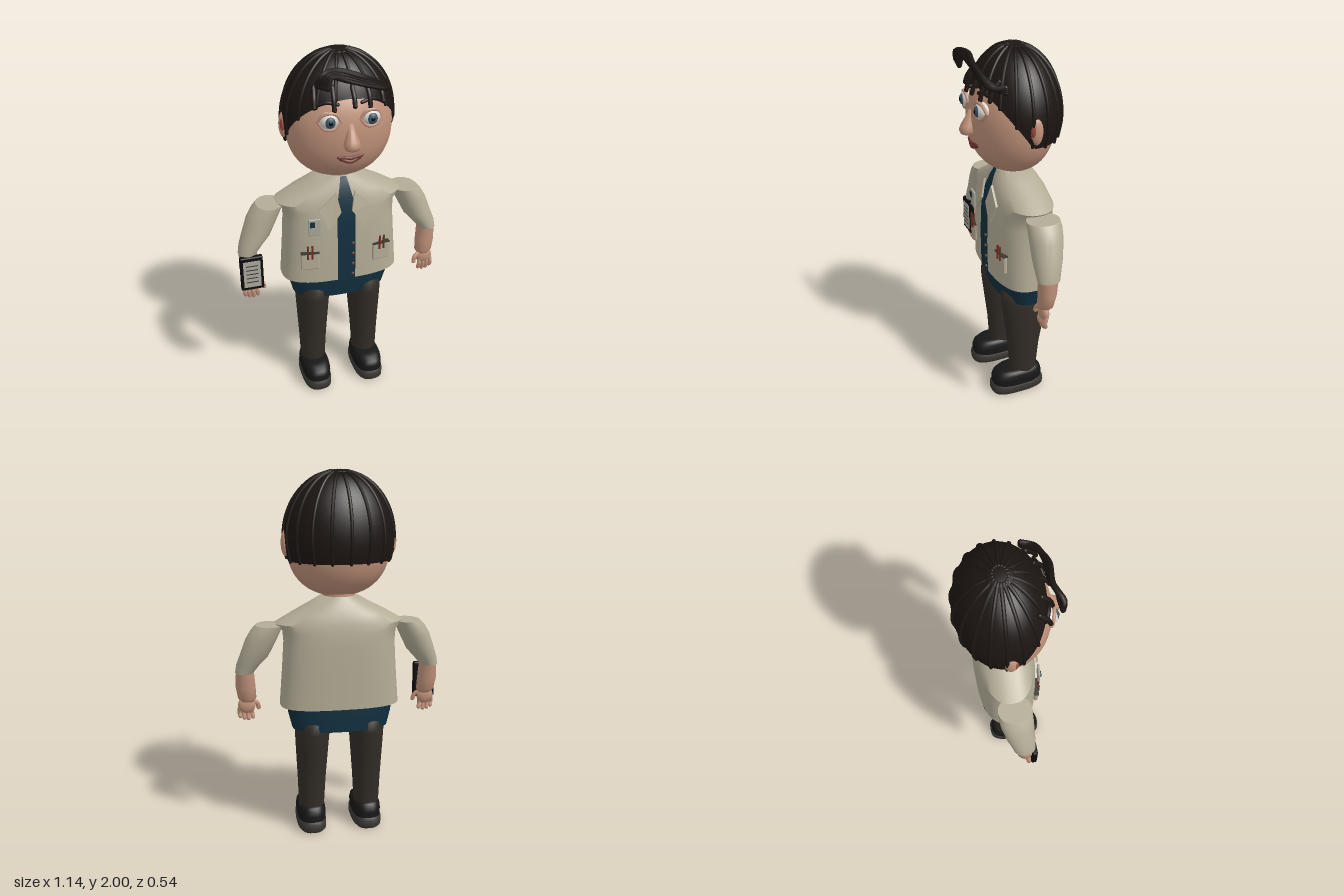
import * as THREE from 'three';
import { toCreasedNormals } from 'three/addons/utils/BufferGeometryUtils.js';
import { RoundedBoxGeometry } from 'three/addons/geometries/RoundedBoxGeometry.js';

const mat = (color, side = THREE.FrontSide) => new THREE.MeshStandardMaterial({ color, side });
const SKIN = mat(0xc0927a), SHIRT = mat(0xb3ac96, THREE.DoubleSide), NAVY = mat(0x123040, THREE.DoubleSide);
const PANTS = mat(0x332d27), HAIR = mat(0x1c1512, THREE.DoubleSide), SHOE = mat(0x181717), SOLE = mat(0x3b3833);
const WHITE = mat(0xd8d4cc), IRIS = mat(0x3c5566), BLACK = mat(0x0c0c0e), LIP = mat(0x70352e), RED = mat(0x7a2a20);
const BRASS = mat(0x5a3d28), PAPER = mat(0xa8a89c), EARPINK = mat(0x9a4a3c);

const V = (x, y, z) => new THREE.Vector3(x, y, z);
const spow = (v, p) => Math.sign(v) * Math.abs(v) ** p;

// Skin over stacked rings [y, centreX, centreZ, radiusX, radiusZ, roundness], lowest first
function loft(rings, seg = 40, crease = 0.7) {
  const pos = [], idx = [], first = rings[0], last = rings[rings.length - 1];
  const all = [[first[0], first[1], first[2], 5e-4, 5e-4], ...rings, [last[0], last[1], last[2], 5e-4, 5e-4]];
  all.forEach(([y, cx, cz, rx, rz, n = 2], i) => {
    for (let j = 0; j < seg; j++) {
      const a = (j / seg) * Math.PI * 2;
      pos.push(cx + rx * spow(Math.cos(a), 2 / n), y, cz + rz * spow(Math.sin(a), 2 / n));
      if (i === all.length - 1) continue;
      const p = i * seg + j, q = i * seg + ((j + 1) % seg);
      idx.push(p, p + seg, q, q, p + seg, q + seg);
    }
  });
  const g = new THREE.BufferGeometry();
  g.setAttribute('position', new THREE.Float32BufferAttribute(pos, 3));
  g.setIndex(idx);
  return toCreasedNormals(g, crease);
}

// Jacket body rings, also used to lay parts on its front
const TORSO = [
  [0.75, 0, -0.025, 0.328, 0.163, 2.8], [0.95, 0, -0.025, 0.312, 0.165, 2.8], [1.1, 0, -0.028, 0.302, 0.163, 2.8],
  [1.165, 0, -0.03, 0.308, 0.158, 2.6], [1.21, 0, -0.03, 0.348, 0.15, 2.4], [1.26, 0, -0.03, 0.262, 0.138, 2.3],
  [1.31, 0, -0.025, 0.165, 0.115, 2.2], [1.35, 0, -0.02, 0.095, 0.09, 2]];
function frontZ(x, y) {
  let i = 0;
  while (i < TORSO.length - 2 && y > TORSO[i + 1][0]) i++;
  const A = TORSO[i], B = TORSO[i + 1], t = THREE.MathUtils.clamp((y - A[0]) / (B[0] - A[0]), 0, 1);
  const [, , cz, rx, rz, n] = A.map((v, k) => v + (B[k] - v) * t);
  return cz + rz * Math.max(0, 1 - Math.abs(x / rx) ** n) ** (1 / n);
}

// Hair shell: ellipsoid cut level at the back and slanting up over the forehead
const hairPoint = (phi, th, grow = 0) => V((0.292 + grow) * Math.sin(th) * Math.cos(phi),
  1.66 + (0.335 + grow) * Math.cos(th), -0.03 + (0.23 + grow) * Math.sin(th) * Math.sin(phi));
function hairEnd(phi) {
  for (let th = 0.5; th < 2.4; th += 0.004) {
    const p = hairPoint(phi, th);
    if (p.y < 1.54 + 1.35 * Math.max(0, p.z + 0.02)) return th;
  }
  return 2.4;
}
function hairShell() {
  const pos = [], idx = [], S = 64, R = 18;
  for (let i = 0; i <= R; i++) for (let j = 0; j < S; j++) {
    const phi = (j / S) * Math.PI * 2, p = hairPoint(phi, 0.002 + hairEnd(phi) * i / R);
    pos.push(p.x, p.y, p.z);
    if (i === R) continue;
    const a = i * S + j, b = i * S + ((j + 1) % S);
    idx.push(a, b, a + S, b, b + S, a + S);
  }
  const g = new THREE.BufferGeometry();
  g.setAttribute('position', new THREE.Float32BufferAttribute(pos, 3));
  g.setIndex(idx);
  g.computeVertexNormals();
  return g;
}

export function createModel() {
  const root = new THREE.Group();
  const add = (name, geo, m, x = 0, y = 0, z = 0, parent = root) => {
    const o = new THREE.Mesh(geo, m);
    o.name = name;
    o.position.set(x, y, z);
    parent.add(o);
    return o;
  };
  const ball = (name, m, x, y, z, rx, ry, rz) => {
    const o = add(name, new THREE.SphereGeometry(1, 28, 18), m, x, y, z);
    o.scale.set(rx, ry, rz);
    return o;
  };
  // Tube with rounded ends
  const tube = (name, m, pts, r, n = 20) => {
    add(name, new THREE.TubeGeometry(new THREE.CatmullRomCurve3(pts), n, r, 8), m);
    for (const p of [pts[0], pts[pts.length - 1]]) add(name + 'End', new THREE.SphereGeometry(r, 8, 6), m, p.x, p.y, p.z);
  };

  // Head: fuller at the jaw than at the crown
  const headRings = [];
  for (let i = 0; i <= 30; i++) {
    const t = -Math.cos((0.02 + 0.96 * i / 30) * Math.PI), k = t < 0 ? 2.3 : 2;
    const r = (1 - Math.abs(t) ** k) ** (1 / k);
    headRings.push([1.63 + 0.285 * t, 0, -0.01, 0.278 * r, 0.222 * r]);
  }
  add('head', loft(headRings, 48, 1.2), SKIN);
  add('neck', new THREE.CylinderGeometry(0.085, 0.09, 0.12, 28), SKIN, 0, 1.36, -0.02);

  // Face
  add('nose', loft([[1.555, 0, 0.225, 0.014, 0.014], [1.565, 0, 0.225, 0.036, 0.034], [1.585, 0, 0.225, 0.043, 0.042],
    [1.61, 0, 0.22, 0.036, 0.038], [1.65, 0, 0.207, 0.022, 0.026], [1.69, 0, 0.197, 0.013, 0.012]], 24, 1.2), SKIN);
  tube('upperLip', LIP, [V(-0.06, 1.513, 0.193), V(-0.02, 1.512, 0.203), V(0, 1.508, 0.204), V(0.02, 1.512, 0.203), V(0.06, 1.513, 0.193)], 0.009);
  tube('lowerLip', LIP, [V(-0.048, 1.504, 0.193), V(0, 1.488, 0.2), V(0.048, 1.504, 0.193)], 0.01);
  for (const s of [-1, 1]) {
    ball('eyeball', WHITE, s * 0.105, 1.708, 0.18, 0.05, 0.044, 0.04);
    ball('iris', IRIS, s * 0.106, 1.708, 0.207, 0.028, 0.029, 0.017);
    ball('pupil', BLACK, s * 0.106, 1.708, 0.214, 0.015, 0.016, 0.012);
    for (const [name, h] of [['upperLid', 0.043], ['lowerLid', -0.041]])
      tube(name, SKIN, [V(s * 0.05, 1.706, 0.196), V(s * 0.075, 1.708 + h * 0.8, 0.2), V(s * 0.105, 1.708 + h, 0.2),
        V(s * 0.135, 1.708 + h * 0.8, 0.192), V(s * 0.16, 1.706, 0.178)], 0.009);
    tube('eyebrow', HAIR, [V(s * 0.06, 1.785, 0.183), V(s * 0.11, 1.795, 0.172), V(s * 0.16, 1.78, 0.155)], 0.009);
    ball('ear', SKIN, s * 0.284, 1.63, -0.03, 0.024, 0.068, 0.032);
    ball('earInner', EARPINK, s * 0.291, 1.635, -0.018, 0.014, 0.04, 0.022);
  }

  // Hair with raised strands, short fringe and swept quiff
  add('hair', hairShell(), HAIR);
  ball('crown', HAIR, 0, 1.988, -0.03, 0.062, 0.013, 0.062);
  const strands = 18;
  for (let k = 0; k < strands; k++) {
    const phi = (k + 0.25) / strands * Math.PI * 2, end = hairEnd(phi);
    const pts = [0, 1, 2, 3, 4, 5, 6].map(i => hairPoint(phi, 0.15 + (end - 0.15) * i / 6, 0.001));
    tube('hairStrand', HAIR, pts, 0.009);
  }
  [-0.17, -0.08, 0.02, 0.1, 0.17].forEach((x, k) => {
    const z = 0.2 - 1.2 * x * x, d = 0.015 * (k % 2);
    tube('fringeLock', HAIR, [V(x * 0.95, 1.86, z - 0.05), V(x, 1.815, z - 0.012), V(x * 1.02, 1.775 - d, z + 0.003)], 0.012, 10);
  });
  for (let k = 0; k < 4; k++) {
    const d = k * 0.017;
    tube('quiffStrand', HAIR, [V(-0.17 + d, 1.9 - d * 0.4, 0.215), V(-0.15 + d, 1.945 - d * 0.3, 0.222 - d * 0.3), V(-0.07 + d, 1.955 - d, 0.19),
      V(0.06 + d, 1.915 - d, 0.2 - d * 0.2), V(0.16 + d * 0.6, 1.86 - d * 0.4, 0.165), V(0.215, 1.82 + d * 0.5, 0.105)], 0.014, 30);
  }

  // Jacket, shirt front and hips
  add('jacket', loft(TORSO, 56), SHIRT);
  add('shirtTail', loft([[0.62, 0, -0.04, 0.265, 0.138, 2.5], [0.7, 0, -0.035, 0.285, 0.145, 2.6], [0.78, 0, -0.03, 0.298, 0.15, 2.6]], 48), NAVY);
  const front = new THREE.PlaneGeometry(1, 0.6, 6, 30), fp = front.attributes.position;
  for (let i = 0; i < fp.count; i++) {
    const y = 1.05 + fp.getY(i), w = y > 1.2 ? 0.1 - (y - 1.2) * 0.45 : 0.1;
    const x = fp.getX(i) * w;
    fp.setXYZ(i, x, y, frontZ(x, y) + 0.006);
  }
  front.computeVertexNormals();
  add('shirtFront', front, NAVY);
  for (const y of [0.98, 0.915, 0.85, 0.785]) ball('button', BRASS, 0.035, y, frontZ(0, y) + 0.01, 0.009, 0.009, 0.008);

  for (const s of [-1, 1]) {
    // Lapel laid on the chest
    const lapel = new THREE.Shape([[0.05, 1.275], [0.15, 1.195], [0.097, 1.08], [0.03, 1.175]].map(([x, y]) => new THREE.Vector2(s * x, y)));
    const lg = new THREE.ExtrudeGeometry(lapel, { depth: 0.012, bevelEnabled: false }), lp = lg.attributes.position;
    for (let i = 0; i < lp.count; i++) lp.setZ(i, lp.getZ(i) + frontZ(lp.getX(i), lp.getY(i)) + 0.008);
    lg.computeVertexNormals();
    add('lapel', lg, SHIRT);
    // Hip pocket with two pens
    const pocket = new THREE.Group();
    pocket.name = 'pocket';
    pocket.position.set(s * 0.2, 0.895, frontZ(0.2, 0.895) + 0.004);
    pocket.rotation.y = s * 0.12;
    root.add(pocket);
    add('pocketPatch', new RoundedBoxGeometry(0.1, 0.105, 0.022, 2, 0.008), SHIRT, 0, 0, 0, pocket);
    add('pocketHem', new THREE.BoxGeometry(0.1, 0.006, 0.028), SOLE, 0, 0.05, 0, pocket);
    for (const k of [-1, 1]) add('pen', new THREE.CylinderGeometry(0.006, 0.006, 0.08, 10), k * s > 0 ? BRASS : RED, k * 0.012, 0.058, 0.014, pocket);

    // Sleeve and forearm
    add('sleeve', loft([[0.935, s * 0.517, 0, 0.05, 0.06], [0.98, s * 0.495, -0.005, 0.064, 0.068], [1.03, s * 0.463, -0.015, 0.078, 0.078],
      [1.12, s * 0.424, -0.025, 0.084, 0.088], [1.17, s * 0.398, -0.028, 0.081, 0.09], [1.2, s * 0.378, -0.028, 0.073, 0.088]], 36), SHIRT);
    add('forearm', loft([[0.765, s * 0.502, 0.012, 0.034, 0.03], [0.785, s * 0.505, 0.01, 0.05, 0.04], [0.85, s * 0.512, 0.004, 0.054, 0.047],
      [0.95, s * 0.514, 0, 0.048, 0.054]], 28, 1.2), SKIN);
    // Hand
    ball('palm', SKIN, s * 0.508, 0.742, 0.02, 0.048, 0.048, 0.024);
    [0.478, 0.502, 0.525, 0.547].forEach((x, k) => tube('finger', SKIN,
      [V(s * x, 0.725, 0.022), V(s * (x + 0.002), 0.695, 0.03), V(s * (x - 0.002), [0.668, 0.66, 0.664, 0.676][k], 0.024)], 0.0115, 8));
    tube('thumb', SKIN, [V(s * 0.475, 0.765, 0.022), V(s * 0.45, 0.745, 0.03), V(s * 0.442, 0.718, 0.034)], 0.0125, 8);

    // Leg and shoe
    add('trouserLeg', loft([[0.1, s * 0.16, -0.02, 0.07, 0.076], [0.3, s * 0.158, -0.024, 0.079, 0.092], [0.5, s * 0.155, -0.03, 0.091, 0.122],
      [0.6, s * 0.153, -0.033, 0.097, 0.137], [0.66, s * 0.15, -0.033, 0.093, 0.138], [0.69, s * 0.15, -0.033, 0.07, 0.11]], 32, 1), PANTS);
    add('sole', loft([[0, s * 0.16, 0.018, 0.07, 0.145, 3], [0.014, s * 0.16, 0.018, 0.082, 0.157, 3], [0.05, s * 0.16, 0.018, 0.083, 0.157, 3],
      [0.066, s * 0.16, 0.018, 0.074, 0.148, 3]], 36, 1), SOLE);
    add('shoe', loft([[0.06, s * 0.16, 0.018, 0.078, 0.148, 2.8], [0.1, s * 0.16, 0.018, 0.081, 0.148, 2.8], [0.125, s * 0.16, 0.016, 0.078, 0.14, 2.7],
      [0.143, s * 0.16, 0.01, 0.07, 0.122, 2.6], [0.15, s * 0.16, 0, 0.058, 0.1, 2.4]], 36, 1), SHOE);
  }

  // Badge on the chest
  const bz = frontZ(0.175, 1.1) + 0.018;
  add('badge', new RoundedBoxGeometry(0.066, 0.098, 0.012, 2, 0.005), PAPER, -0.175, 1.105, bz).rotation.y = -0.1;
  add('badgeSquare', new THREE.BoxGeometry(0.026, 0.03, 0.006), NAVY, -0.188, 1.125, bz + 0.007);

  // Note tablet in the right hand
  const tablet = new THREE.Group();
  tablet.name = 'tablet';
  tablet.position.set(-0.507, 0.83, 0.05);
  root.add(tablet);
  add('tabletCase', new RoundedBoxGeometry(0.125, 0.205, 0.03, 2, 0.008), BLACK, 0, 0, 0, tablet);
  add('tabletPage', new THREE.BoxGeometry(0.094, 0.162, 0.006), PAPER, 0, -0.002, 0.014, tablet);
  for (let k = 0; k < 5; k++) add('ruledLine', new THREE.BoxGeometry(0.064, 0.005, 0.004), SOLE, 0, 0.05 - k * 0.025, 0.017, tablet);

  return root;
}
